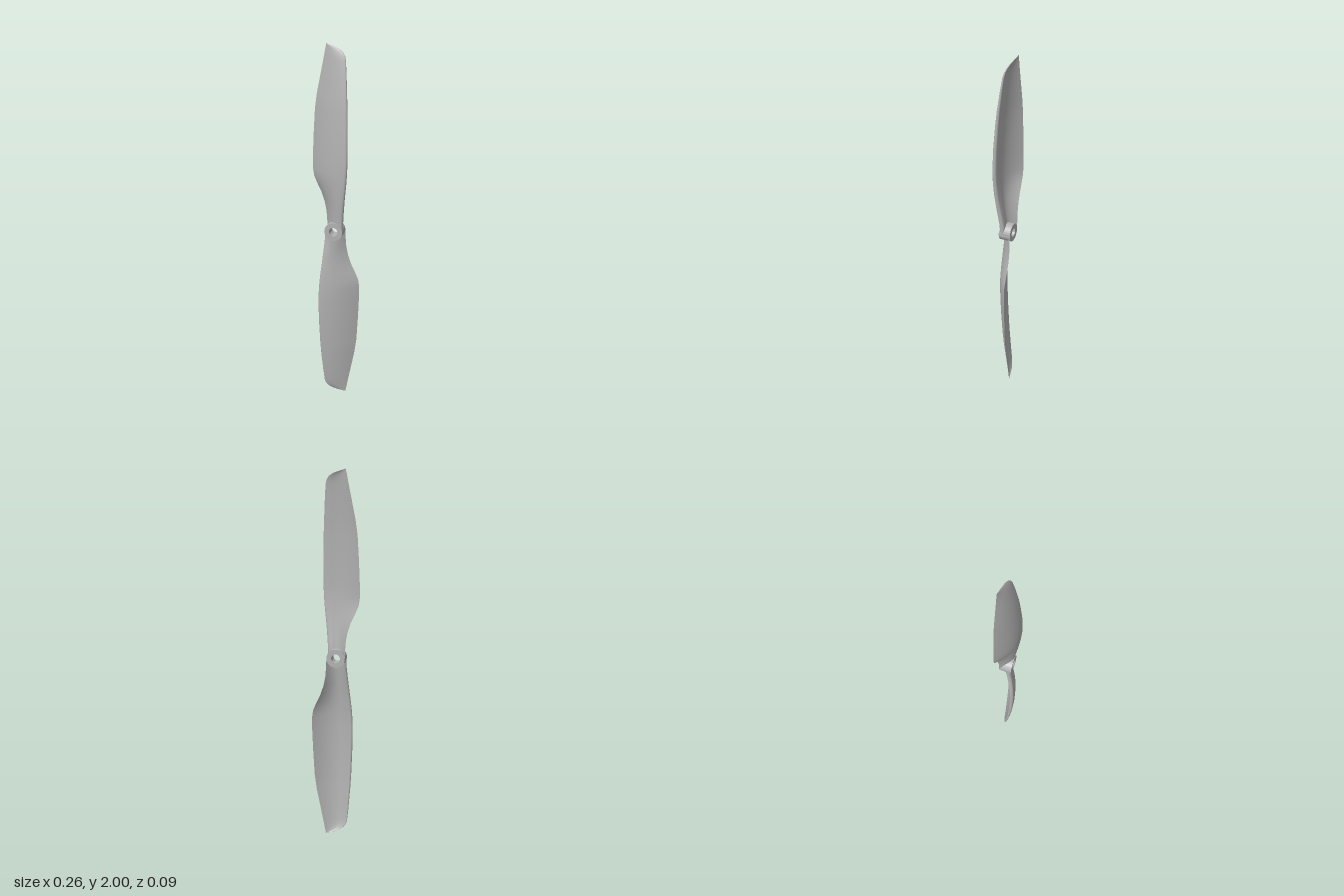
import * as THREE from 'three';
import { toCreasedNormals } from 'three/addons/utils/BufferGeometryUtils.js';

const BACK = -0.045; // plane of the trailing edges and the hub's rear face
const HUB_R = 0.05, HOLE_R = 0.024, HUB_FRONT = 0.02;

// Blade stations: distance from hub, trailing x, leading x, front z, lip thickness
const STATIONS = [
  [0.00, -0.050, 0.050, 0.017, 0.028],
  [0.05, -0.052, 0.051, 0.018, 0.027],
  [0.10, -0.056, 0.055, 0.024, 0.026],
  [0.15, -0.066, 0.060, 0.030, 0.025],
  [0.20, -0.083, 0.065, 0.035, 0.024],
  [0.25, -0.107, 0.071, 0.039, 0.023],
  [0.29, -0.124, 0.075, 0.041, 0.023],
  [0.33, -0.130, 0.078, 0.043, 0.022],
  [0.40, -0.130, 0.081, 0.043, 0.022],
  [0.52, -0.125, 0.080, 0.039, 0.021],
  [0.66, -0.117, 0.076, 0.028, 0.018],
  [0.74, -0.106, 0.072, 0.020, 0.016],
  [0.85, -0.084, 0.065, 0.005, 0.012],
  [0.92, -0.070, 0.059, -0.006, 0.009],
  [0.945, -0.065, 0.053, -0.012, 0.008],
  [0.963, -0.062, 0.040, -0.019, 0.006],
  [0.978, -0.059, 0.018, -0.027, 0.005],
  [0.990, -0.056, -0.018, -0.036, 0.003],
  [1.000, -0.055, -0.053, -0.044, 0.001],
];

// One cambered section, running over the front, round the lip and back underneath
function section([d, xT, xL, zF, t]) {
  const N = 14, width = xL - xT, lip = Math.min(t * 0.5, width * 0.3), pts = [];
  const camber = u => BACK + (zF - BACK) * (1 - (1 - u) ** 2);
  const add = (x, z) => {
    // the root wraps round the bore rather than crossing it
    const clear = Math.sqrt(Math.max(0, 0.035 ** 2 - x * x));
    pts.push([x, Math.max(d, clear), z]);
  };
  const xEnd = xL - lip;
  for (let i = 0; i <= N; i++) {
    const u = i / N;
    add(xT + (xEnd - xT) * u, camber(u));
  }
  for (let i = 1; i < 8; i++) {
    const a = Math.PI * i / 8;
    add(xEnd + lip * Math.sin(a), zF - t / 2 + t / 2 * Math.cos(a));
  }
  for (let i = N; i >= 0; i--) {
    const u = i / N;
    add(xT + (xEnd - xT) * u, camber(u) - t * Math.min(1, u * 1.2) * Math.min(1, u * 1.2));
  }
  return pts;
}

function bladeGeometry() {
  const rows = STATIONS.map(section), n = rows[0].length, index = [];
  for (let j = 0; j < rows.length - 1; j++) {
    for (let i = 0; i < n - 1; i++) {
      const a = j * n + i, b = a + 1, c = b + n, d = a + n;
      index.push(a, b, c, a, c, d);
    }
  }
  const g = new THREE.BufferGeometry();
  g.setAttribute('position', new THREE.Float32BufferAttribute(rows.flat(2), 3));
  g.setIndex(index);
  g.computeVertexNormals();
  return g;
}

function hubGeometry() {
  const ring = new THREE.Shape().absarc(0, 0, HUB_R, 0, Math.PI * 2);
  ring.holes.push(new THREE.Path().absarc(0, 0, HOLE_R, 0, Math.PI * 2, true));
  const g = new THREE.ExtrudeGeometry(ring, {
    depth: HUB_FRONT - BACK, bevelEnabled: false, curveSegments: 40,
  });
  g.translate(0, 0, BACK);
  return toCreasedNormals(g, 0.6);
}

export function createModel() {
  const plastic = new THREE.MeshStandardMaterial({ color: 0xb2b2b2, side: THREE.DoubleSide });
  plastic.name = 'greyPlastic';
  const model = new THREE.Group();
  model.name = 'propeller';

  // Two identical blades, half a turn apart
  const blade = bladeGeometry();
  ['upperBlade', 'lowerBlade'].forEach((name, i) => {
    const mesh = new THREE.Mesh(blade, plastic);
    mesh.name = name;
    mesh.position.y = 1;
    mesh.rotation.z = i * Math.PI;
    model.add(mesh);
  });

  // Bored hub
  const hub = new THREE.Mesh(hubGeometry(), plastic);
  hub.name = 'hub';
  hub.position.y = 1;
  model.add(hub);
  return model;
}
